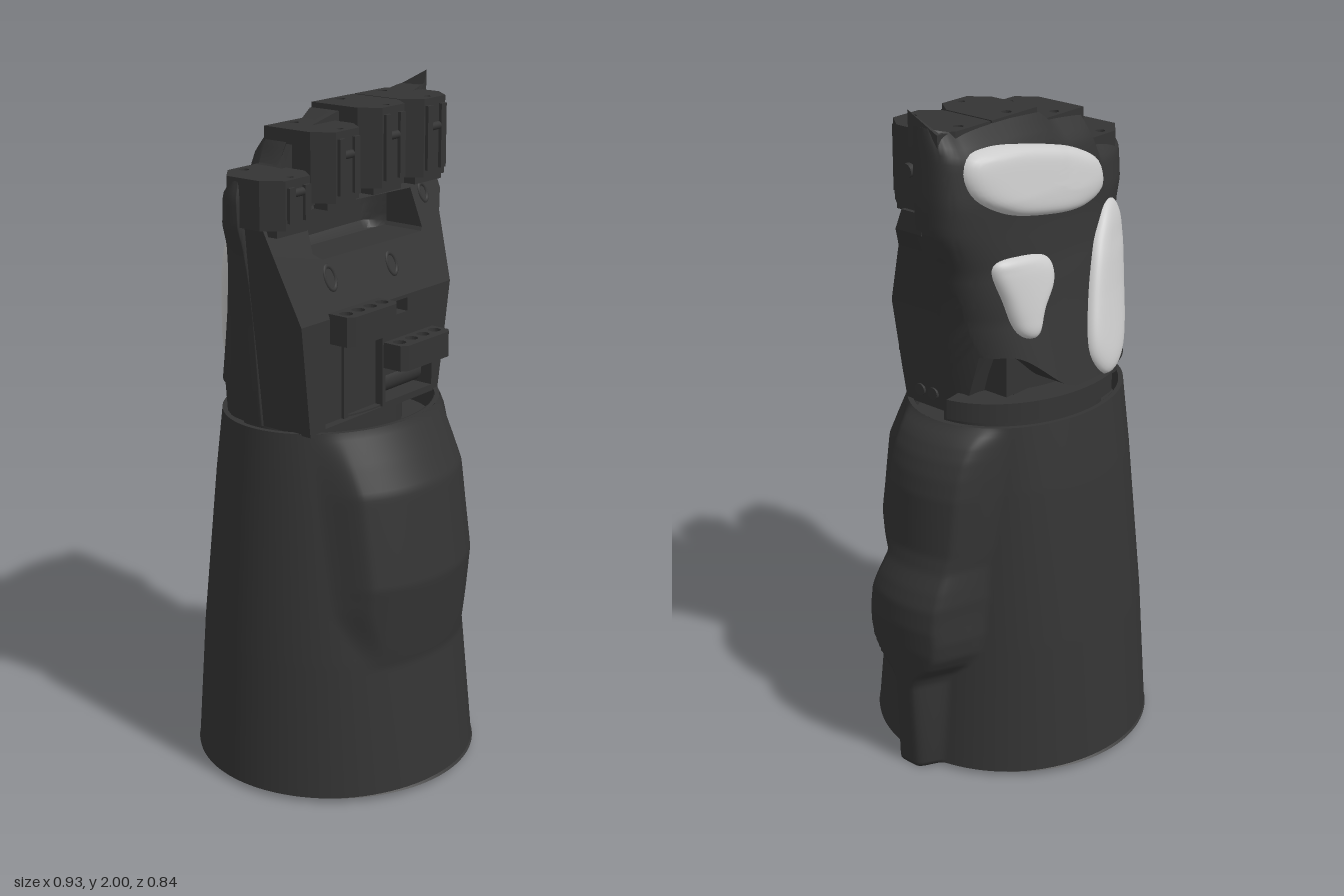
import * as THREE from 'three';
import { toCreasedNormals } from 'three/addons/utils/BufferGeometryUtils.js';

const dark = new THREE.MeshStandardMaterial({ color: 0x343434, side: THREE.DoubleSide });
const padGrey = new THREE.MeshStandardMaterial({ color: 0xcccccc, side: THREE.DoubleSide });

const smooth = THREE.MathUtils.smoothstep;
// Linear interpolation in rows of [key, value, value...]
function lookup(rows, k, col = 1) {
  if (k <= rows[0][0]) return rows[0][col];
  for (let i = 1; i < rows.length; i++) {
    const a = rows[i - 1], b = rows[i];
    if (k <= b[0]) return a[col] + (b[col] - a[col]) * (k - a[0]) / (b[0] - a[0]);
  }
  return rows[rows.length - 1][col];
}
// Skin over closed rings: point(row, angle) -> [x, y, z]
function loft(rows, cols, point) {
  const pos = [], idx = [];
  for (let i = 0; i < rows; i++) for (let j = 0; j < cols; j++) pos.push(...point(i, j / cols * Math.PI * 2));
  for (let i = 0; i < rows - 1; i++) for (let j = 0; j < cols; j++) {
    const a = i * cols + j, b = i * cols + (j + 1) % cols;
    idx.push(a, a + cols, b, b, a + cols, b + cols);
  }
  const g = new THREE.BufferGeometry();
  g.setAttribute('position', new THREE.Float32BufferAttribute(pos, 3));
  g.setIndex(idx);
  g.computeVertexNormals();
  return g;
}
const vectors = (pts) => pts.map(p => new THREE.Vector2(...p));
const circleHole = (x, y, r) => new THREE.Path().absarc(x, y, r, 0, Math.PI * 2, true);
const rectHole = (x0, x1, y0, y1) => new THREE.Path(vectors([[x0, y0], [x1, y0], [x1, y1], [x0, y1]]));
// Extrude an x/y outline along z
function plate(pts, z0, z1, holes = []) {
  const s = new THREE.Shape(vectors(pts));
  s.holes.push(...holes);
  return new THREE.ExtrudeGeometry(s, { depth: z1 - z0, bevelEnabled: false, curveSegments: 12 }).translate(0, 0, z0);
}
// Extrude an x/z outline upwards; holes are given in x and -z
const prism = (pts, y0, y1, holes) =>
  plate(pts.map(([x, z]) => [x, -z]), y0, y1, holes).rotateX(-Math.PI / 2);
const boxGeo = (x0, x1, y0, y1, z0, z1) =>
  new THREE.BoxGeometry(x1 - x0, y1 - y0, z1 - z0).translate((x0 + x1) / 2, (y0 + y1) / 2, (z0 + z1) / 2);
const arc = (cx, cz, rx, rz, a0, a1, n) => Array.from({ length: n + 1 }, (_, i) => {
  const a = a0 + (a1 - a0) * i / n;
  return [cx + rx * Math.cos(a), cz + rz * Math.sin(a)];
});

// --- Socket: tapered sleeve with a raised front panel and a side housing
const frontRise = [[0.4, 0], [0.46, 0.015], [0.65, 0.058], [0.92, 0.055], [1.0, 0.03], [1.09, 0]];
const sideRise = [[0, 0.04], [0.15, 0.062], [0.28, 0.08], [0.35, 0.097], [0.42, 0.115], [0.5, 0.126], [0.57, 0.126], [0.62, 0.112],
  [0.67, 0.091], [0.72, 0.082], [0.9, 0.087], [0.96, 0.08], [1.01, 0.066], [1.05, 0.045], [1.075, 0.022], [1.09, 0]];
const sideHalf = [[0, 0.088], [0.29, 0.09], [0.32, 0.105], [0.36, 0.15], [0.4, 0.175], [0.46, 0.185], [0.58, 0.182], [0.68, 0.165], [0.9, 0.178], [1.09, 0.185]];
const sleeve = [[0, -0.045, 0.425, 0.415], [0.42, -0.05, 0.395, 0.38], [0.9, -0.05, 0.362, 0.322], [1.095, -0.05, 0.35, 0.29]];
function sleevePoint(y, a, raised) {
  let x = lookup(sleeve, y, 1) + lookup(sleeve, y, 2) * Math.cos(a);
  let z = lookup(sleeve, y, 3) * Math.sin(a) - 0.008 * y;
  let drop = 0;
  if (raised) {
    if (z > 0) {
      const half = 0.27 - 0.05 * (1 - smooth(y, 0.4, 0.6));
      z += lookup(frontRise, y) * (1 - smooth(Math.abs(x + 0.055), half - 0.045, half + 0.02));
    }
    if (Math.cos(a) > 0) {
      const half = lookup(sideHalf, y), c = 0.005 - 0.025 * smooth(y, 0.5, 0.75);
      const m = 1 - smooth(Math.abs(z - c), half - 0.06, half + 0.01);
      x += lookup(sideRise, y) * m;
      drop = m * 0.015 * (1 - smooth(y, 0, 0.1));
    }
  }
  return [x, y - drop, z];
}
function socketGeometry() {
  const n = 100;
  return loft(n + 2, 240, (i, a) => i === 0 ? sleevePoint(0.015, a, false) : sleevePoint(0.015 + 1.08 * (i - 1) / n, a, true));
}

// --- Hand shell: [y, left edge, right edge, back depth, squareness of the +x half of the back]
const hand = [
  [1.1, -0.36, 0.23, -0.28, 2.6], [1.18, -0.37, 0.25, -0.28, 2.6], [1.4, -0.39, 0.285, -0.226, 2.6], [1.55, -0.41, 0.32, -0.192, 3],
  [1.66, -0.425, 0.365, -0.178, 3.6], [1.75, -0.445, 0.37, -0.172, 4.2], [1.88, -0.45, 0.37, -0.152, 4.5], [1.95, -0.44, 0.37, -0.1, 4.5]];
const knuckleLine = [[-0.45, 1.795], [-0.27, 1.795], [-0.22, 1.89], [-0.06, 1.9], [-0.03, 1.935], [0.3, 1.94], [0.37, 1.96]];
const stretch = (x) => (lookup(knuckleLine, x) - 1.5) / 0.45;
const sideZ = -0.02;
const backPower = (yr, side) => side > 0 ? lookup(hand, yr, 4) : 2.4;
function backZ(x, y) {
  const yr = y > 1.5 ? 1.5 + (y - 1.5) / stretch(x) : y;
  const l = lookup(hand, yr, 1), r = lookup(hand, yr, 2);
  const u = (x - (l + r) / 2) / ((r - l) / 2), n = backPower(yr, u);
  return sideZ + (lookup(hand, yr, 3) - sideZ) * Math.pow(1 - Math.pow(Math.min(1, Math.abs(u)), n), 1 / n);
}
function handGeometry() {
  const n = 36;
  return toCreasedNormals(loft(n + 5, 96, (i, a) => {
    const core = i < 3;                          // narrow wrist core below the shell
    const yr = i < 2 ? 1.09 : i === 2 ? 1.18 : 1.18 + 0.77 * Math.min(1, (i - 3) / n);
    const l = lookup(hand, yr, 1), r = lookup(hand, yr, 2), c = Math.cos(a), s = Math.sin(a);
    const e = s > 0 ? 0.3 : 2 / backPower(yr, c);
    let x = (l + r) / 2 + (r - l) / 2 * Math.sign(c) * Math.pow(Math.abs(c), e);
    let y = yr > 1.5 ? 1.5 + (yr - 1.5) * stretch(x) : yr;
    // the lower edge of the back rises on the left
    if (s < 0 && i > 1) y += 0.12 * smooth(x, 0, 0.2) * Math.max(0, 1 - (yr - 1.18) / 0.35);
    // hollow behind the palm window
    const hollow = smooth(yr, 1.5, 1.56) * (1 - smooth(yr, 1.7, 1.74)) * (1 - smooth(Math.abs(x + 0.015), 0.23, 0.32));
    let z = s > 0 ? sideZ + 0.02 * Math.pow(s, e) - 0.11 * hollow : backZ(x, y);
    if (core) z = Math.max(z, -0.17);
    if (core && s < -0.1) x = Math.min(x, 0.15);
    if (i === 0 || i === n + 4) z = sideZ;       // close both ends
    return [x, y, z];
  }), 0.6);
}
// Cushion laid on the back of the hand
function cushion(pts, h) {
  const curve = new THREE.CatmullRomCurve3(pts.map(([x, y]) => new THREE.Vector3(x, y, 0)), true);
  const rim = curve.getSpacedPoints(64), mid = new THREE.Vector3();
  pts.forEach(([x, y]) => mid.add(new THREE.Vector3(x / pts.length, y / pts.length, 0)));
  const n = 14;
  return loft(n + 1, 64, (i, a) => {
    const t = Math.sin(i / n * Math.PI / 2), p = rim[Math.round(a / Math.PI * 32) % 64];
    const x = mid.x + (p.x - mid.x) * t, y = mid.y + (p.y - mid.y) * t;
    return [x, y, backZ(x, y) + 0.008 - h * Math.sqrt(1 - Math.pow(t, 7))];
  });
}

export function createModel() {
  const model = new THREE.Group();
  const add = (name, geo, mat = dark) => {
    const m = new THREE.Mesh(geo, mat);
    m.name = name;
    model.add(m);
  };

  // Socket and its inside
  add('socket', socketGeometry());
  add('socketTopLining', new THREE.CylinderGeometry(1, 1, 0.12, 96, 1, true).scale(0.335, 1, 0.275).translate(-0.05, 1.035, -0.01));
  add('socketTopRim', new THREE.RingGeometry(0.955, 1, 96).rotateX(-Math.PI / 2).scale(0.35, 1, 0.29).translate(-0.05, 1.095, -0.009));
  add('socketDeck', new THREE.CylinderGeometry(1, 1, 0.03, 96).scale(0.335, 1, 0.275).translate(-0.05, 1.0, -0.01));
  add('socketBottomBevel', new THREE.CylinderGeometry(0.345, 0.42, 0.06, 96, 1, true).translate(-0.045, 0.045, 0));
  const pocket = [-0.27, 0.15, -0.18, 0.2];
  add('socketFloor', prism(arc(-0.045, 0, 0.35, 0.35, 0, Math.PI * 2 * 71 / 72, 71), 0.075, 0.1, [rectHole(...pocket)]));
  add('batteryPocket', prism([[-0.28, -0.21], [0.16, -0.21], [0.16, 0.19], [-0.28, 0.19]], 0.1, 0.45, [rectHole(...pocket)]));
  add('pocketRoof', boxGeo(-0.28, 0.16, 0.45, 0.47, -0.21, 0.19));
  add('pocketDivider', boxGeo(-0.12, 0.06, 0.14, 0.45, -0.02, 0.02));
  for (const x of [-0.32, 0.23]) add('floorScrew', new THREE.CylinderGeometry(0.013, 0.013, 0.02, 16).translate(x, 0.07, 0.08));

  // Hand shell and palm
  add('handShell', handGeometry());
  add('lowerPalm', plate([[-0.355, 1.09], [0.23, 1.09], [0.25, 1.2], [0.285, 1.41], [-0.39, 1.41]], -0.02, 0.165,
    [rectHole(-0.29, -0.035, 1.1, 1.32), rectHole(0.01, 0.08, 1.36, 1.4), rectHole(-0.02, 0.2, 1.11, 1.19)]));
  add('palmPanel', boxGeo(-0.29, -0.035, 1.1, 1.32, 0, 0.14));
  add('palmPanelRidge', boxGeo(-0.19, -0.17, 1.1, 1.32, 0.13, 0.15));
  add('wristMotor', new THREE.CylinderGeometry(0.035, 0.035, 0.2, 24).rotateZ(Math.PI / 2).translate(0.09, 1.15, 0.1));
  const windowHole = new THREE.Path(vectors([[-0.26, 1.58], [-0.23, 1.56], [0.22, 1.56], [0.23, 1.57], [0.23, 1.68], [-0.21, 1.69], [-0.25, 1.65]]));
  const upper = plate([[-0.39, 1.41], [0.285, 1.41], [0.33, 1.6], [0.365, 1.66], [0.365, 1.72], [-0.43, 1.72], [-0.415, 1.6]], 0, 1, [windowHole]);
  const up = upper.attributes.position;
  for (let i = 0; i < up.count; i++) up.setZ(i, -0.03 + up.getZ(i) * (0.195 - (up.getY(i) - 1.41) * 0.4));
  upper.computeVertexNormals();
  add('upperPalm', upper);

  // Cable rails, each with four vertical holes
  for (const [x0, x1, y0, y1] of [[-0.27, -0.05, 1.34, 1.425], [-0.03, 0.2, 1.215, 1.29]]) {
    const holes = [0, 1, 2, 3].map(i => circleHole(x0 + (x1 - x0) * (0.14 + 0.24 * i), -0.197, 0.019));
    add('cableRail', prism([[x0, 0.15], [x1, 0.15], [x1, 0.225], [x1 - 0.02, 0.24], [x0 + 0.02, 0.24], [x0, 0.225]], y0, y1, holes));
  }

  // Knuckles with hinge tabs and pins: [left, right, bottom, top, left back cut, right back cut]
  const knuckles = [[-0.44, -0.255, 1.67, 1.805, 0.06, 0], [-0.23, -0.045, 1.71, 1.905, 0, 0],
    [-0.027, 0.158, 1.72, 1.945, 0, 0], [0.165, 0.352, 1.72, 1.945, 0, 0.05]];
  for (const [x0, x1, y0, y1, cutL, cutR] of knuckles) {
    const m = (x0 + x1) / 2;
    add('knuckle', prism([[x0 + cutL, -0.1], [x1 - cutR, -0.1], [x1, -0.05], [x1, 0.065], [m + 0.05, 0.12], [m - 0.05, 0.12], [x0, 0.065], [x0, -0.05]],
      y0, y1, [circleHole(m, 0.07, 0.014), circleHole(m, -0.093, 0.01)]));
    for (const s of [-1, 1]) add('hingeTab', boxGeo(m + s * 0.032 - 0.012, m + s * 0.032 + 0.012, y0 + 0.02, y1 - 0.02, 0.05, 0.13));
    add('hingePin', new THREE.CylinderGeometry(0.012, 0.012, 0.06, 16).rotateZ(Math.PI / 2).translate(m, (y0 + y1) / 2 + 0.03, 0.118));
    add('knuckleBase', boxGeo(x0 + 0.03, x1 - 0.03, y0 - 0.02, y0 + 0.02, 0, 0.1));
  }
  add('knuckleBridge', boxGeo(-0.4, 0.34, 1.7, 1.79, -0.05, 0.055));
  // Pointed corner of the shell, sloping down to the back
  const tip = plate([[0.325, 1.9], [0.37, 1.9], [0.372, 2.0], [0.36, 1.96], [0.345, 1.945], [0.325, 1.94]], -0.09, 0.005);
  const tp = tip.attributes.position;
  for (let i = 0; i < tp.count; i++) if (tp.getZ(i) < -0.05) tp.setXYZ(i, tp.getX(i) - 0.01, Math.min(tp.getY(i), 1.945), tp.getZ(i));
  tip.computeVertexNormals();
  add('shellTip', tip);

  // Tendon holes on the palm
  for (const [x, y, r] of [[-0.22, 1.51, 0.028], [0.05, 1.5, 0.026], [0.28, 1.66, 0.022]])
    add('tendonHole', new THREE.TorusGeometry(r, 0.006, 8, 24).scale(0.75, 1.2, 1).rotateX(-0.38).translate(x, y, 0.164 - (y - 1.41) * 0.4));

  // Wrist details
  add('wristCollar', prism([...arc(-0.05, -0.01, 0.352, 0.28, -0.15, -1.9, 32), ...arc(-0.05, -0.01, 0.25, 0.19, -1.9, -0.15, 32)], 1.11, 1.168));
  add('wristBase', new THREE.CylinderGeometry(1, 1, 0.09, 64).scale(0.28, 1, 0.19).translate(-0.06, 1.06, -0.03));
  add('wristSidePanel', boxGeo(0.05, 0.18, 1.17, 1.29, -0.17, 0.09));
  for (const z of [0.05, 0.1])
    add('wristScrew', new THREE.CylinderGeometry(0.018, 0.018, 0.02, 20).rotateZ(Math.PI / 2).translate(0.238, 1.14, z));
  add('knuckleScrew', new THREE.CylinderGeometry(0.02, 0.02, 0.02, 20).rotateZ(Math.PI / 2).translate(0.358, 1.83, 0.02));

  // Cushions on the back of the hand
  add('knuckleCushion', cushion([[0.315, 1.84], [0.295, 1.88], [0.22, 1.892], [0.05, 1.868], [-0.14, 1.815], [-0.235, 1.755], [-0.24, 1.69], [-0.14, 1.655], [0.05, 1.672], [0.2, 1.712], [0.295, 1.775]], 0.044), padGrey);
  add('heelCushion', cushion([[-0.37, 1.58], [-0.29, 1.635], [-0.2, 1.57], [-0.11, 1.4], [-0.075, 1.24], [-0.13, 1.172], [-0.22, 1.2], [-0.31, 1.34]], 0.038), padGrey);
  add('thumbCushion', cushion([[0.23, 1.57], [0.14, 1.58], [0.03, 1.55], [0.025, 1.5], [0.08, 1.42], [0.12, 1.345], [0.165, 1.36], [0.205, 1.46]], 0.034), padGrey);
  return model;
}
